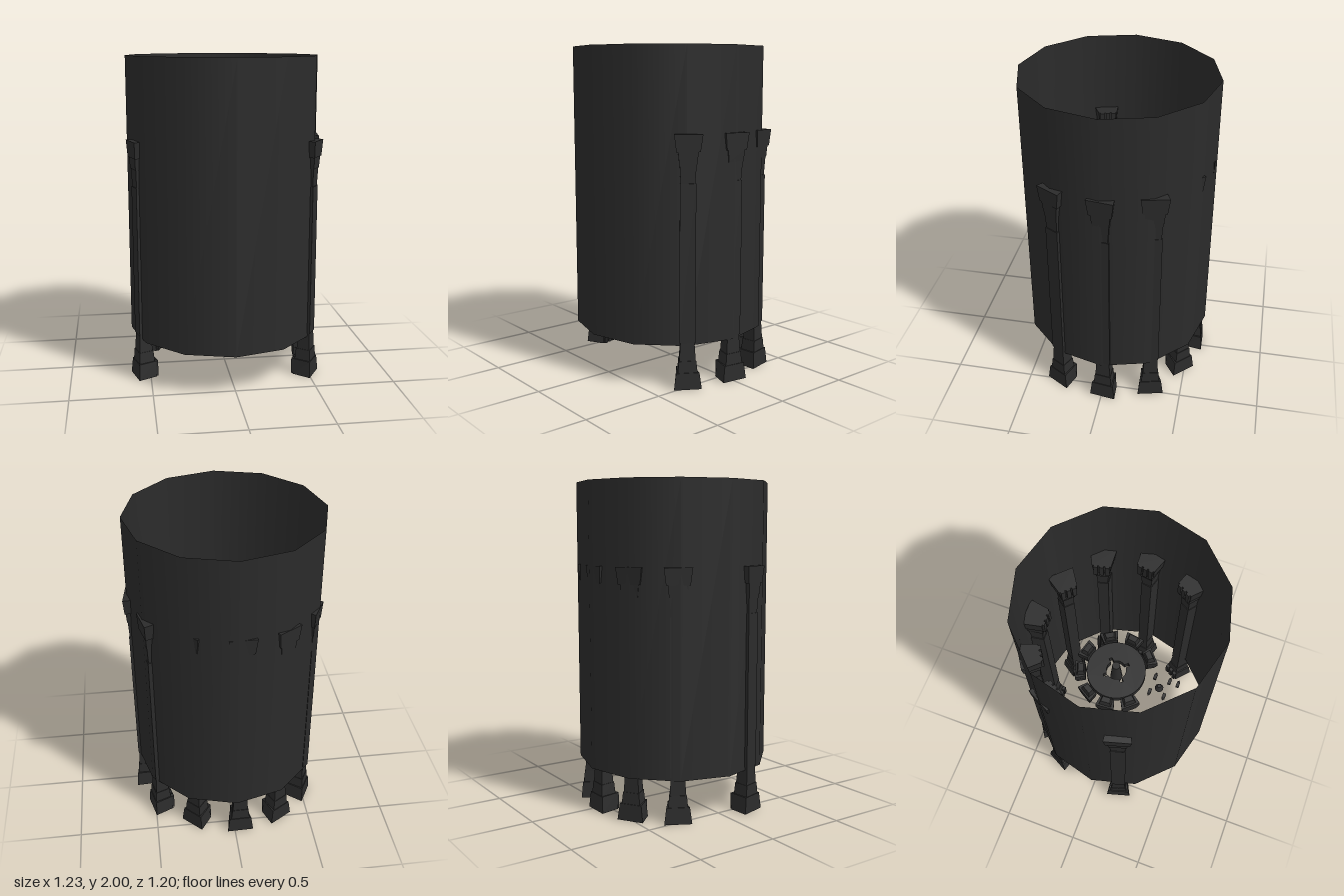
import * as THREE from 'three';

const charcoal = new THREE.MeshStandardMaterial({ color: 0x2b2b2b });
charcoal.name = 'charcoal';
const charcoalWall = new THREE.MeshStandardMaterial({ color: 0x2b2b2b, side: THREE.DoubleSide });
charcoalWall.name = 'charcoal';

function add(parent, name, geometry, x = 0, y = 0, z = 0, material = charcoal) {
  const mesh = new THREE.Mesh(geometry, material);
  mesh.name = name;
  mesh.position.set(x, y, z);
  parent.add(mesh);
  return mesh;
}

// Flat-shaded loft through trapezoids [y, outer width, inner width, outer z, inner z], bottom to top
function loft(sections) {
  const pos = [], index = [];
  for (const [y, wo, wi, zo, zi] of sections)
    pos.push(-wo / 2, y, zo, wo / 2, y, zo, wi / 2, y, zi, -wi / 2, y, zi);
  for (let s = 0; s < sections.length - 1; s++) {
    for (let i = 0; i < 4; i++) {
      const a = s * 4 + i, b = s * 4 + (i + 1) % 4;
      index.push(a, b, b + 4, a, b + 4, a + 4);
    }
  }
  const t = (sections.length - 1) * 4;
  index.push(0, 2, 1, 0, 3, 2, t, t + 1, t + 2, t, t + 2, t + 3);
  const g = new THREE.BufferGeometry();
  g.setAttribute('position', new THREE.Float32BufferAttribute(pos, 3));
  g.setIndex(index);
  const flat = g.toNonIndexed();
  flat.computeVertexNormals();
  return flat;
}

// Lower half of a pillar; the upper half mirrors it
const half = [
  [0, 0.166, 0.118, 0, -0.123],
  [0.1, 0.14, 0.1, -0.006, -0.118],
  [0.1, 0.118, 0.09, -0.01, -0.114],
  [0.17, 0.104, 0.08, -0.014, -0.108],
  [0.17, 0.098, 0.075, -0.017, -0.104],
  [0.28, 0.084, 0.065, -0.022, -0.096],
  [0.28, 0.095, 0.07, -0.018, -0.1],
];
const pillarGeometry = loft([
  ...half,
  ...half.slice().reverse().map(([y, ...rest]) => [1.5 - y, ...rest]),
]);

function pillar(x, z, degrees) {
  const g = new THREE.Group();
  g.name = 'pillar';
  add(g, 'pillarShaft', pillarGeometry);
  // Ribs on the inner face of the foot and the capital
  for (const y of [0.05, 1.45])
    for (const i of [-1, 0, 1])
      add(g, 'pillarRib', new THREE.BoxGeometry(0.026, 0.1, 0.02), i * 0.036, y, -0.125);
  g.position.set(x, 0, z);
  g.rotation.y = THREE.MathUtils.degToRad(degrees);
  return g;
}

// Round deck with a central opening and four diagonal slots
function deckGeometry() {
  const shape = new THREE.Shape().absarc(0, 0, 0.19, 0, Math.PI * 2);
  const hole = new THREE.Path();
  for (let i = 0; i < 4; i++) {
    const mid = Math.PI / 4 + i * Math.PI / 2;
    const points = [[0.064, -0.6], [0.064, -0.16], [0.09, -0.11], [0.09, 0.11], [0.064, 0.16], [0.064, 0.6]];
    points.forEach(([r, a], k) => {
      const x = r * Math.cos(mid + a), y = r * Math.sin(mid + a);
      if (i === 0 && k === 0) hole.moveTo(x, y);
      else hole.lineTo(x, y);
    });
  }
  hole.closePath();
  shape.holes.push(hole);
  return new THREE.ExtrudeGeometry(shape, { depth: 0.05, bevelEnabled: false, curveSegments: 24 })
    .rotateX(-Math.PI / 2);
}

export function createModel() {
  const model = new THREE.Group();
  model.name = 'pillaredChamber';

  // Open twelve-sided wall
  add(model, 'outerWall', new THREE.CylinderGeometry(0.6, 0.6, 1.74, 12, 1, true), -0.01, 1.13, 0, charcoalWall);

  // Pillars around the wall: x, z, facing angle
  for (const p of [
    [-0.525, -0.313, -118], [-0.318, -0.517, -147.5], [-0.036, -0.591, -179], [0.273, -0.498, 135],
    [0.52, -0.31, 104], [0.604, -0.007, 82], [0.535, 0.308, 59], [-0.596, 0.197, -74],
  ]) model.add(pillar(...p));

  // Central deck, core and ring of stepped consoles
  const centre = new THREE.Group();
  centre.name = 'centralDeck';
  centre.position.set(-0.025, 0.95, -0.027);
  model.add(centre);
  add(centre, 'deck', deckGeometry());
  add(centre, 'core', new THREE.CylinderGeometry(0.025, 0.04, 0.2, 12), 0, 0.03, 0);
  const consoleGeometry = loft([
    [-0.06, 0.08, 0.06, 0.025, -0.03],
    [0.02, 0.12, 0.09, 0.035, -0.03],
    [0.06, 0.12, 0.09, 0.035, -0.03],
    [0.06, 0.08, 0.07, 0.025, -0.025],
    [0.1, 0.06, 0.05, 0.015, -0.02],
  ]);
  for (const degrees of [-160, -121, -86, -49, 42, 82, 121, 164]) {
    const a = THREE.MathUtils.degToRad(degrees);
    const unit = add(centre, 'console', consoleGeometry, Math.sin(a) * 0.228, 0, Math.cos(a) * 0.228);
    unit.rotation.y = a;
  }

  // Small knob with pointed pegs on either side
  add(model, 'knob', new THREE.CylinderGeometry(0.012, 0.028, 0.04, 12), -0.027, 0.97, 0.268);
  for (const [x, z, dir] of [[-0.083, 0.22, -1], [0.036, 0.222, 1], [-0.083, 0.316, -1], [0.036, 0.319, 1], [0.036, 0.375, 1]]) {
    add(model, 'peg', new THREE.BoxGeometry(0.034, 0.02, 0.02), x - dir * 0.008, 0.97, z);
    const tip = add(model, 'pegTip', new THREE.ConeGeometry(0.011, 0.016, 8), x + dir * 0.017, 0.97, z);
    tip.rotation.z = -dir * Math.PI / 2;
  }
  return model;
}
